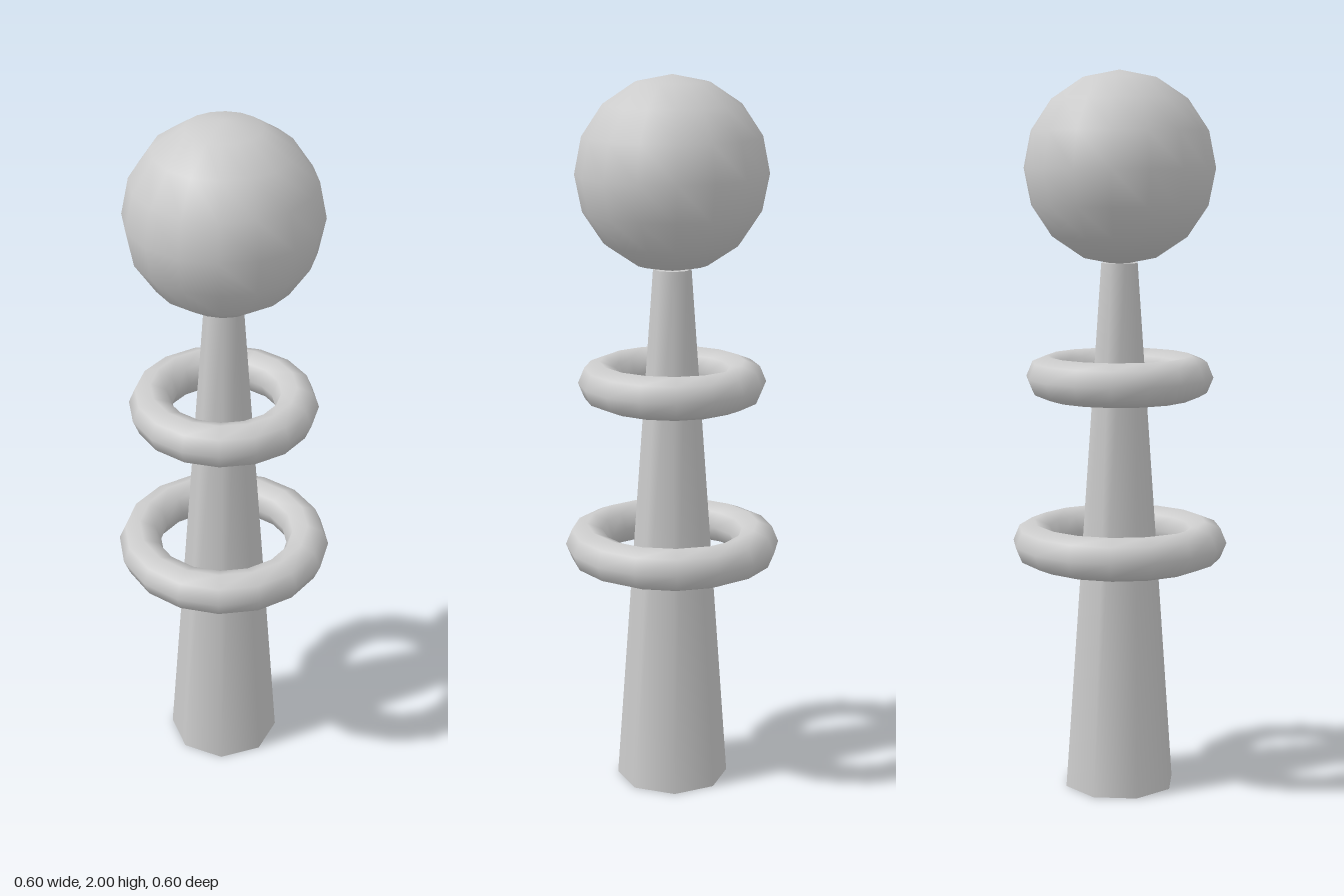
import * as THREE from 'three';

const material = new THREE.MeshStandardMaterial({ color: 0xcccccc });

export function createModel() {
  const group = new THREE.Group();

  function add(name, geometry, y) {
    const mesh = new THREE.Mesh(geometry, material);
    mesh.name = name;
    mesh.position.y = y;
    group.add(mesh);
  }

  // Horizontal ring floating around the column
  const ring = (radius) => new THREE.TorusGeometry(radius, 0.06, 8, 16).rotateX(Math.PI / 2);

  // Tapered eight-sided column, ending just inside the ball
  add('column', new THREE.CylinderGeometry(0.0525, 0.158, 1.48, 8), 0.74);

  add('lowerRing', ring(0.24), 0.7);
  add('upperRing', ring(0.2), 1.165);

  // Ball on top
  add('ball', new THREE.SphereGeometry(0.263, 16, 8), 1.737);

  return group;
}
